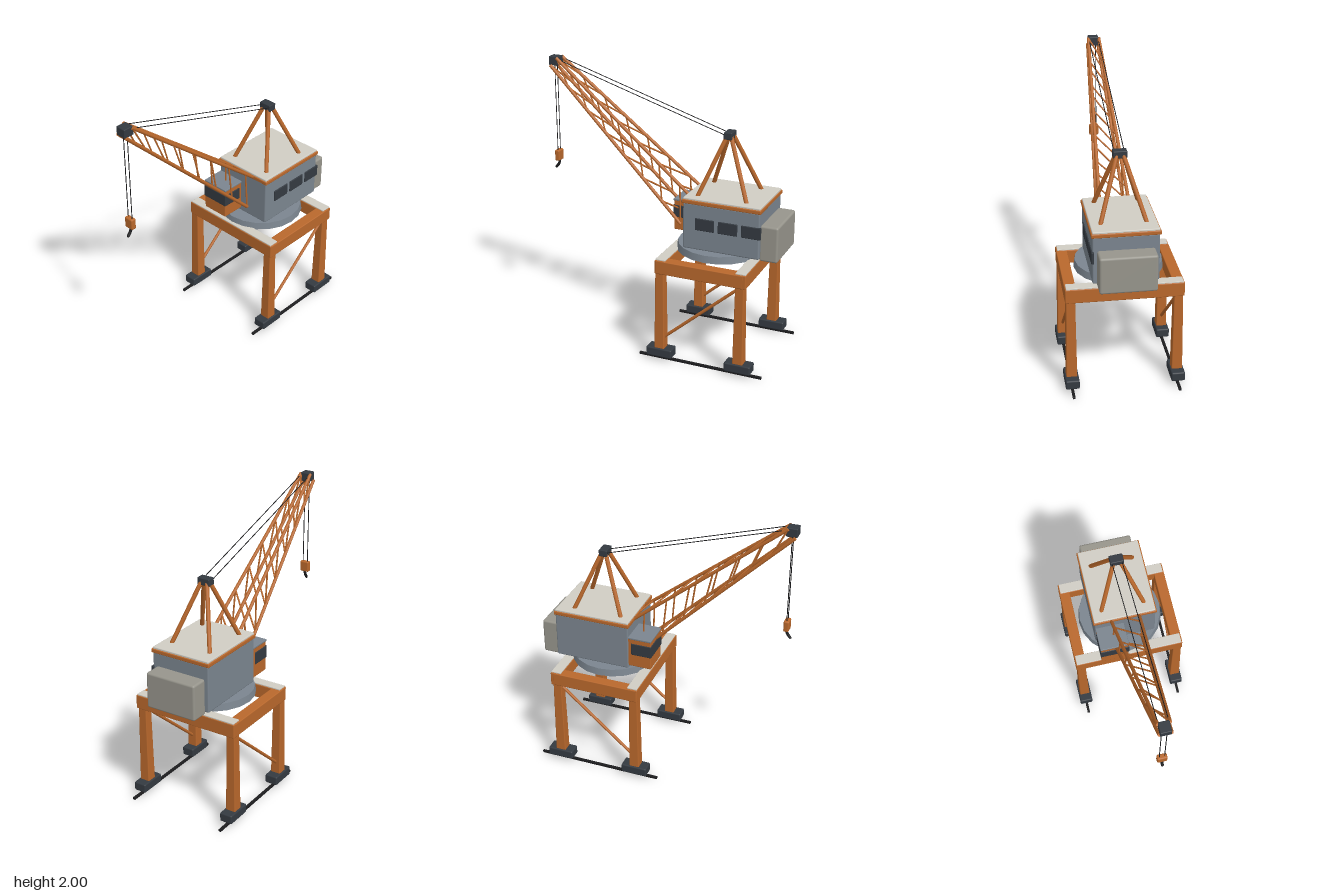
import * as THREE from 'three';
import { RoundedBoxGeometry } from 'three/addons/geometries/RoundedBoxGeometry.js';

const paint = (color) => new THREE.MeshStandardMaterial({ color });
const orange = paint(0xb9682c), steel = paint(0x7b858f), dark = paint(0x343a41);
const pale = paint(0xd0cdc4), ballast = paint(0x97958c), black = paint(0x1c1c1e);
const V = (x, y, z) => new THREE.Vector3(x, y, z);

export function createModel() {
  const root = new THREE.Group();
  root.name = 'portalCrane';

  const add = (name, geo, mat, parent = root) => {
    const mesh = new THREE.Mesh(geo, mat);
    mesh.name = name;
    parent.add(mesh);
    return mesh;
  };
  const group = (name) => {
    const g = new THREE.Group();
    g.name = name;
    root.add(g);
    return g;
  };
  // Box given by its extents on each axis, with softened edges
  const box = (name, [x0, x1], [y0, y1], [z0, z1], mat, parent, r = 0.006) => {
    const w = x1 - x0, h = y1 - y0, d = z1 - z0;
    const geo = new RoundedBoxGeometry(w, h, d, 2, Math.min(r, w / 3, h / 3, d / 3));
    const m = add(name, geo, mat, parent);
    m.position.set((x0 + x1) / 2, (y0 + y1) / 2, (z0 + z1) / 2);
    return m;
  };
  // Round bar between two points
  const bar = (name, a, b, r, mat, parent, sides = 8) => {
    const dir = b.clone().sub(a);
    const m = add(name, new THREE.CylinderGeometry(r, r, dir.length(), sides), mat, parent);
    m.position.copy(a).add(b).multiplyScalar(0.5);
    m.quaternion.setFromUnitVectors(V(0, 1, 0), dir.normalize());
    return m;
  };

  // Rails, bogies, wheels, legs and braces
  const gantry = group('gantry');
  const legZ = [-0.115, -0.695];
  for (const s of [-1, 1]) {
    const x = s * 0.36;
    box('rail', [x - 0.009, x + 0.009], [0, 0.017], [-0.86, 0.05], black, gantry, 0.002);
    for (const z of legZ) {
      box('bogie', [x - 0.047, x + 0.047], [0.03, 0.095], [z - 0.095, z + 0.095], dark, gantry, 0.01);
      for (const dz of [-0.06, 0.06]) {
        const wheel = add('wheel', new THREE.CylinderGeometry(0.024, 0.024, 0.03, 14), dark, gantry);
        wheel.rotation.z = Math.PI / 2;
        wheel.position.set(x, 0.041, z + dz);
      }
      // Square leg, narrower at the top
      const geo = new RoundedBoxGeometry(0.074, 0.59, 0.074, 2, 0.007);
      const p = geo.attributes.position;
      for (let i = 0; i < p.count; i++) {
        const k = 1 - 0.18 * (p.getY(i) / 0.59 + 0.5);
        p.setX(i, p.getX(i) * k);
        p.setZ(i, p.getZ(i) * k);
      }
      add('leg', geo, orange, gantry).position.set(x, 0.385, z);
    }
    bar('brace', V(x, 0.17, -0.135), V(x, 0.645, -0.68), 0.011, orange, gantry);
    box('sideBeam', [x - 0.038, x + 0.038], [0.662, 0.758], [-0.72, -0.09], orange, gantry);
  }
  for (const z of [-0.122, -0.7]) {
    box('crossBeam', [-0.397, 0.397], [0.66, 0.76], [z - 0.04, z + 0.04], orange, gantry);
    box('walkwayPlate', [-0.39, 0.39], [0.756, 0.768], [z - 0.036, z + 0.036], pale, gantry, 0.003);
  }

  // Slewing ring
  const ring = add('turntable', new THREE.CylinderGeometry(0.297, 0.305, 0.05, 20), steel);
  ring.rotation.y = Math.PI / 2;
  ring.position.set(0, 0.785, -0.41);

  // Machinery house
  const house = group('house');
  box('houseBody', [-0.22, 0.22], [0.808, 1.14], [-0.765, -0.215], steel, house, 0.01);
  box('roofTrim', [-0.228, 0.228], [1.136, 1.164], [-0.773, -0.208], orange, house, 0.006);
  box('roof', [-0.22, 0.22], [1.155, 1.177], [-0.766, -0.215], pale, house, 0.006);
  for (let i = 0; i < 3; i++) {
    const z = -0.375 - i * 0.166;
    box('sideWindow', [0.21, 0.228], [0.955, 1.04], [z - 0.069, z + 0.069], dark, house, 0.004);
  }
  box('counterweight', [-0.19, 0.19], [0.79, 1.045], [-0.885, -0.755], ballast, house, 0.015);

  // Operator cab
  const cab = group('cab');
  box('cabBody', [-0.212, -0.014], [0.83, 1.052], [-0.225, -0.05], orange, cab, 0.006);
  box('cabWindow', [-0.217, -0.009], [0.925, 1.015], [-0.195, -0.045], dark, cab, 0.005);
  box('cabRoof', [-0.215, -0.01], [1.047, 1.062], [-0.225, -0.047], steel, cab, 0.004);

  // Four-legged mast on the roof
  const mast = group('mast');
  for (const sx of [-1, 1]) for (const sz of [-1, 1]) {
    bar('mastLeg', V(sx * 0.155, 1.16, -0.47 + sz * 0.18), V(sx * 0.022, 1.58, -0.465 + sz * 0.014), 0.015, orange, mast, 10);
  }
  box('mastCap', [-0.047, 0.047], [1.56, 1.61], [-0.493, -0.433], dark, mast);

  // Lattice boom: four chords tapering to the head
  const boom = group('boom');
  const panels = 7;
  const lower = (s, t) => V(s * THREE.MathUtils.lerp(0.105, 0.038, t), 0.93 + 1.005 * t, -0.15 + 1.025 * t);
  const upper = (s, t) => V(s * THREE.MathUtils.lerp(0.105, 0.038, t), 1.08 + 0.91 * t, -0.3 + 1.125 * t);
  for (const s of [-1, 1]) {
    bar('lowerChord', lower(s, 0), lower(s, 1), 0.012, orange, boom);
    bar('upperChord', upper(s, 0), upper(s, 1), 0.012, orange, boom);
    for (let k = 0; k < panels; k++) {
      bar('sideLacing', lower(s, k / panels), upper(s, (k + 1) / panels), 0.006, orange, boom, 6);
    }
  }
  for (const chord of [lower, upper]) for (let k = 0; k < panels; k++) {
    bar('crossLacing', chord(-1, k / panels), chord(1, (k + 1) / panels), 0.006, orange, boom, 6);
  }
  box('boomHead', [-0.037, 0.037], [1.935, 1.998], [0.812, 0.888], dark, boom);

  // Pendant ropes, hoist ropes and hook
  const rigging = group('rigging');
  for (const s of [-1, 1]) {
    bar('pendantRope', V(s * 0.034, 1.585, -0.45), V(s * 0.034, 1.985, 0.83), 0.003, black, rigging, 6);
    bar('hoistRope', V(s * 0.018, 1.3, 0.85), V(s * 0.018, 1.95, 0.85), 0.003, black, rigging, 6);
  }
  box('hookBlock', [-0.035, 0.035], [1.23, 1.31], [0.831, 0.869], orange, rigging, 0.01);
  const hookPath = new THREE.CatmullRomCurve3([
    V(0, 1.24, 0.85), V(0, 1.215, 0.85), V(0, 1.198, 0.857), V(0, 1.175, 0.875),
  ]);
  add('hook', new THREE.TubeGeometry(hookPath, 12, 0.01, 8), black, rigging);
  const tip = add('hookTip', new THREE.SphereGeometry(0.01, 8, 6), black, rigging);
  tip.position.set(0, 1.175, 0.875);

  return root;
}
